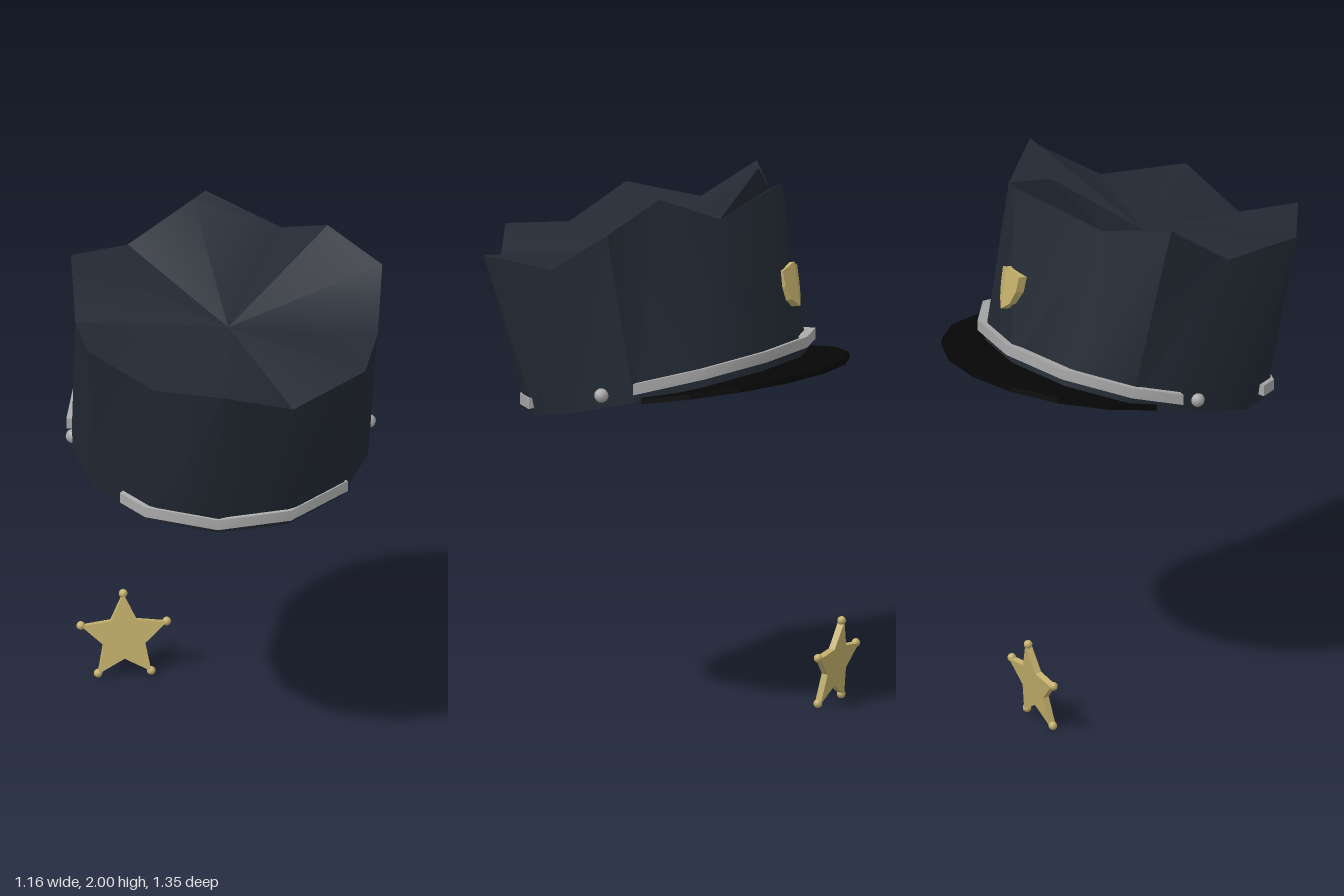
import * as THREE from 'three';
import { toCreasedNormals } from 'three/addons/utils/BufferGeometryUtils.js';

const SIDES = 13;
const mat = (color) => new THREE.MeshStandardMaterial({ color });
const navy = mat(0x232a34), black = mat(0x060606), silver = mat(0xaaaaaa), gold = mat(0xc4b06c);
const V = (x, y, z) => new THREE.Vector3(x, y, z);

// Builds a creased mesh from a flat list of triangle corners.
function meshFrom(name, corners, material, crease = 0.6) {
  const geo = new THREE.BufferGeometry().setFromPoints(corners);
  const mesh = new THREE.Mesh(toCreasedNormals(geo, crease), material);
  mesh.name = name;
  return mesh;
}

const quad = (a, b, c, d) => [a, b, c, a, c, d];

// Point on the tilted base ring; k may be fractional along a side.
function ring(k, scale = 1, lift = 0) {
  const corner = (i) => {
    const a = -Math.PI / 2 + (i * 2 * Math.PI) / SIDES;
    return V(-0.02 + 0.54 * scale * Math.sin(a), 0, -0.505 * scale * Math.cos(a));
  };
  const i = Math.floor(k);
  const p = corner(i).lerp(corner(i + 1), k - i);
  p.y = 1.195 - 0.245 * p.z + lift;
  return p;
}

// Crown: tilted polygon base, leaning walls and a peaked, creased top
function crown() {
  const rim = [
    V(-0.56, 1.765, 0.13), V(-0.55, 1.92, -0.1), V(-0.325, 1.87, -0.26),
    V(-0.02, 1.97, -0.46), V(0.24, 1.87, -0.335), V(0.39, 1.955, -0.165),
    V(0.575, 1.845, -0.045), V(0.53, 1.69, 0.2), V(0.45, 1.7, 0.51),
    V(0.18, 1.595, 0.58), V(-0.08, 1.705, 0.68), V(-0.32, 1.68, 0.54),
    V(-0.55, 1.795, 0.425),
  ];
  const peak = V(-0.08, 2.0, -0.335), centre = V(0, 1.69, 0.086);
  const top = rim.map((p, i) => (i === 3 ? peak : p));
  const tris = [];
  for (let k = 0; k < SIDES; k++) {
    const n = (k + 1) % SIDES;
    tris.push(...quad(ring(n), ring(k), rim[k], rim[n]));
    tris.push(centre, top[n], top[k]);
    tris.push(V(-0.02, 1.195, 0), ring(k), ring(n));
  }
  // fold between the front flap and the peak behind it
  tris.push(rim[4], rim[3], rim[2], rim[4], rim[2], peak);
  return meshFrom('crown', tris, navy);
}

// Rectangular trim strip that follows the base ring
function band(name, ks) {
  const sections = ks.map((k) => [
    ring(k, 0.92, 0.03), ring(k, 1.05, 0.03), ring(k, 1.05, 0.07), ring(k, 0.92, 0.07),
  ]);
  const tris = [];
  for (let i = 0; i < sections.length - 1; i++) {
    const a = sections[i], b = sections[i + 1];
    for (let j = 0; j < 4; j++) {
      const m = (j + 1) % 4;
      tris.push(...quad(b[j], a[j], a[m], b[m]));
    }
  }
  const s = sections[0], e = sections[sections.length - 1];
  tris.push(...quad(s[3], s[2], s[1], s[0]), ...quad(e[0], e[1], e[2], e[3]));
  const mesh = meshFrom(name, tris, silver);
  mesh.material = silver.clone();
  mesh.material.side = THREE.DoubleSide;
  return mesh;
}

// Brim: thin half disc
function brim() {
  const pts = [];
  for (let i = 0; i <= 9; i++) {
    const a = (i * Math.PI) / 9;
    pts.push(new THREE.Vector2(0.52 * Math.cos(a), 0.535 * Math.sin(a)));
  }
  const geo = new THREE.ExtrudeGeometry(new THREE.Shape(pts), { depth: 0.02, bevelEnabled: false });
  geo.rotateX(-Math.PI / 2);
  const mesh = new THREE.Mesh(geo, black);
  mesh.name = 'brim';
  mesh.position.set(-0.01, 1.222, -0.15);
  mesh.rotation.x = 0.15;
  return mesh;
}

// Shield: two mirrored halves, raised along the centre line
function shield() {
  const group = new THREE.Group();
  group.name = 'shieldBadge';
  const half = [[0, -0.08], [0.035, -0.05], [0.055, 0], [0.06, 0.06], [0.035, 0.068], [0, 0.082]];
  for (const side of [1, -1]) {
    const pts = half.map(([x, y]) => new THREE.Vector2(x * side, y));
    const geo = new THREE.ExtrudeGeometry(new THREE.Shape(pts), { depth: 0.045, bevelEnabled: false });
    const p = geo.attributes.position;
    for (let i = 0; i < p.count; i++) {
      if (p.getZ(i) > 0.01) p.setZ(i, 0.045 + 0.02 * (1 - Math.abs(p.getX(i)) / 0.06));
    }
    geo.computeVertexNormals();
    const mesh = new THREE.Mesh(geo, gold);
    mesh.name = side > 0 ? 'shieldRightHalf' : 'shieldLeftHalf';
    group.add(mesh);
  }
  group.position.set(-0.04, 1.585, -0.445);
  group.rotation.set(0.16, Math.PI, 0);
  return group;
}

// Five-pointed star with a ball on each tip
function star() {
  const group = new THREE.Group();
  group.name = 'starBadge';
  const pts = [];
  const tip = new THREE.SphereGeometry(0.016, 10, 8);
  for (let i = 0; i < 10; i++) {
    const a = Math.PI / 2 + (i * Math.PI) / 5;
    const r = i % 2 ? 0.08 : 0.164;
    const p = new THREE.Vector2(r * Math.cos(a), r * Math.sin(a));
    pts.push(p);
    if (i % 2 === 0) {
      const ball = new THREE.Mesh(tip, gold);
      ball.name = 'starTip';
      ball.position.set(p.x, p.y, 0);
      group.add(ball);
    }
  }
  const geo = new THREE.ExtrudeGeometry(new THREE.Shape(pts), { depth: 0.024, bevelEnabled: false });
  geo.translate(0, 0, -0.012);
  const plate = new THREE.Mesh(geo, gold);
  plate.name = 'starPlate';
  group.add(plate);
  group.position.set(-0.308, 0.148, -0.53);
  group.rotation.x = -0.165;
  return group;
}

export function createModel() {
  const model = new THREE.Group();
  const cap = new THREE.Group();
  cap.name = 'cap';
  cap.add(
    crown(), brim(), shield(),
    band('frontBand', [0.25, 1, 2, 3, 4, 5, 6]),
    band('rearBand', [8, 9, 10, 11, 11.45]),
  );
  // Side buttons
  for (const [name, x] of [['leftButton', 0.52], ['rightButton', -0.555]]) {
    const button = new THREE.Mesh(new THREE.SphereGeometry(0.026, 10, 8), silver);
    button.name = name;
    button.position.set(x, 1.242, 0.005);
    cap.add(button);
  }
  model.add(cap, star());
  return model;
}
